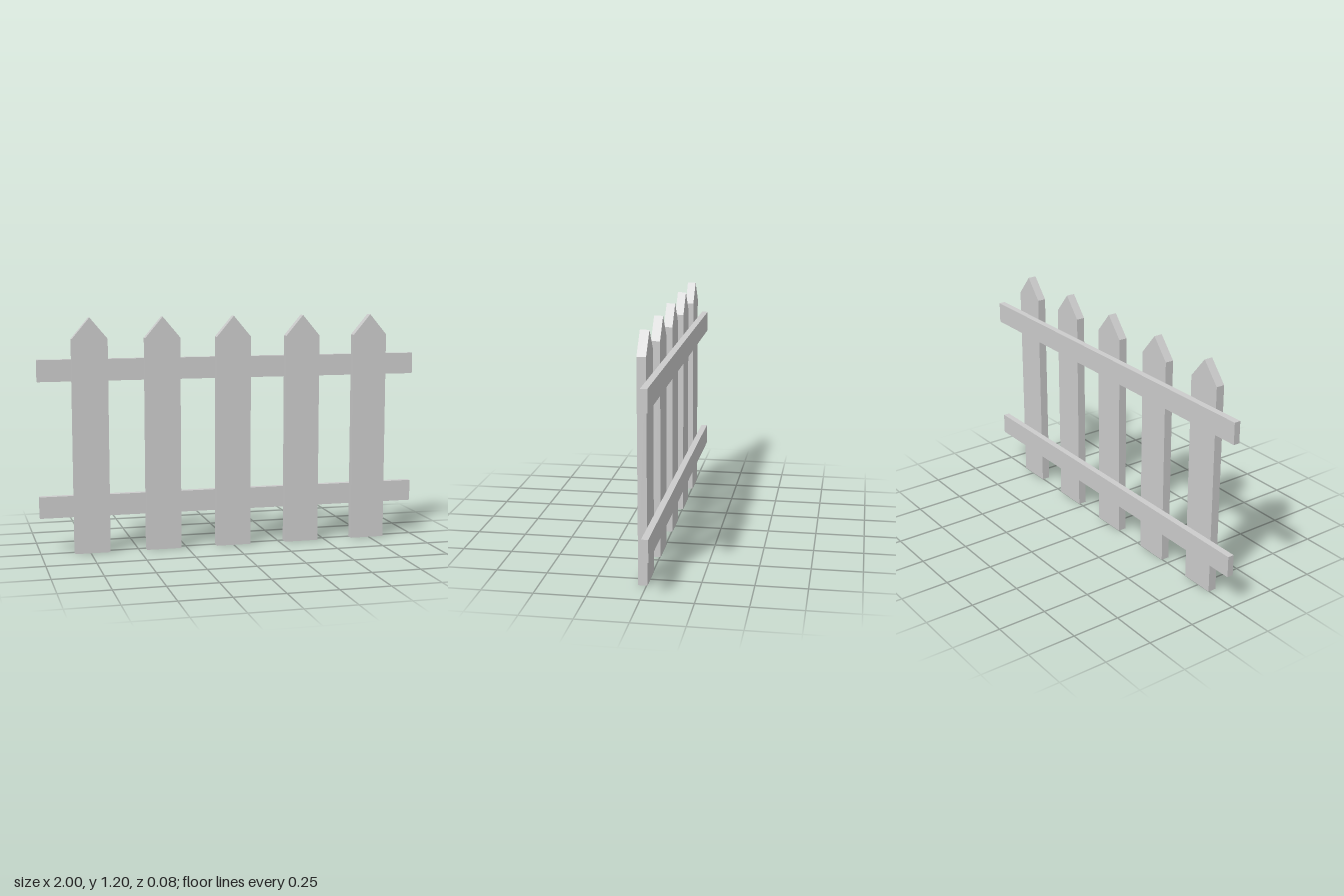
import * as THREE from 'three';

export function createModel() {
  const fence = new THREE.Group();
  fence.name = 'picketFence';
  const material = new THREE.MeshStandardMaterial({ color: 0xcccccc, flatShading: true });

  // Pointed picket outline, extruded to board thickness
  const half = 0.09, shoulder = 1.09, tip = 1.197;
  const outline = new THREE.Shape([
    new THREE.Vector2(-half, 0),
    new THREE.Vector2(half, 0),
    new THREE.Vector2(half, shoulder),
    new THREE.Vector2(0, tip),
    new THREE.Vector2(-half, shoulder),
  ]);
  const picketGeometry = new THREE.ExtrudeGeometry(outline, { depth: 0.044, bevelEnabled: false });

  // Five evenly spaced pickets
  for (let i = -2; i <= 2; i++) {
    const picket = new THREE.Mesh(picketGeometry, material);
    picket.name = `picket${i + 3}`;
    picket.position.set(i * 0.37, 0, -0.004);
    fence.add(picket);
  }

  // Two horizontal rails behind the pickets
  const railGeometry = new THREE.BoxGeometry(2, 0.11, 0.033);
  for (const [name, y] of [['lowerRail', 0.237], ['upperRail', 0.931]]) {
    const rail = new THREE.Mesh(railGeometry, material);
    rail.name = name;
    rail.position.set(0, y, -0.0235);
    fence.add(rail);
  }

  return fence;
}
